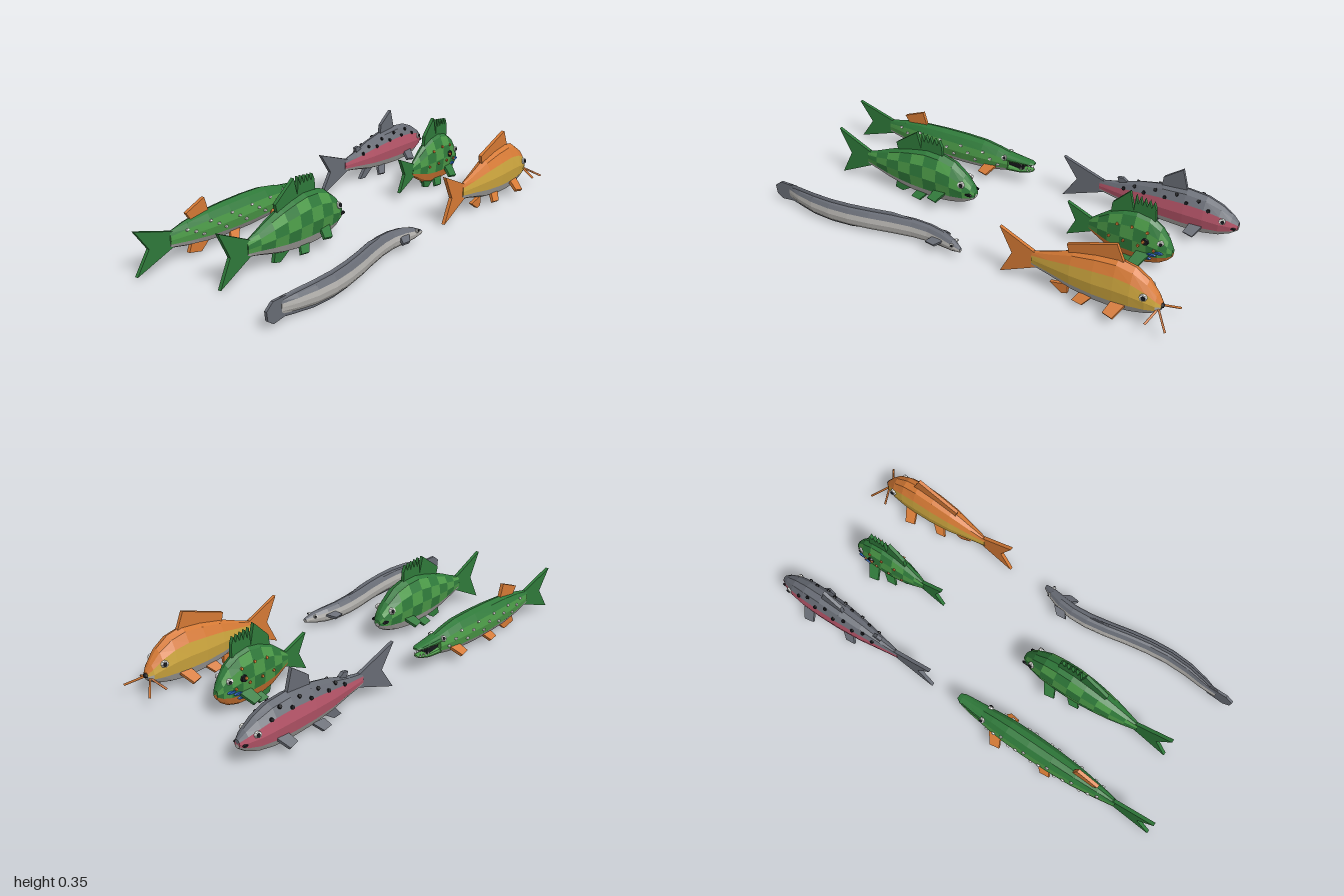
import * as THREE from 'three';

const paint = (name, color) => Object.assign(new THREE.MeshStandardMaterial({ color }), { name });
const darkGreen = paint('darkGreen', 0x2f7a3a), green = paint('green', 0x4c9b48);
const orange = paint('orange', 0xd67a35), gold = paint('gold', 0xd0a83f);
const slate = paint('slate', 0x686c75), pale = paint('pale', 0xb6b4b0);
const pink = paint('pink', 0xb8566a), black = paint('black', 0x17181c);
const blue = paint('blue', 0x2660b8), white = paint('white', 0xe6e6e2);

const SIDES = 12;

function add(group, name, geometry, material) {
  const mesh = new THREE.Mesh(geometry, material);
  mesh.name = name;
  group.add(mesh);
  return mesh;
}

// Point of an oval section [x, top, bottom, halfWidth, zOffset]; angle runs from the back down the +z side
function onSection([x, top, bottom, w, z = 0], a) {
  return new THREE.Vector3(x, (top + bottom) / 2 + (top - bottom) / 2 * Math.cos(a), z + w * Math.sin(a));
}

// Faceted body through the sections; pick(ring, band) gives each face its colour (band 0 = back, 5 = belly)
function loft(group, name, sections, pick) {
  const buckets = new Map();
  const face = (mat, ...pts) => {
    if (!buckets.has(mat)) buckets.set(mat, []);
    pts.forEach(p => buckets.get(mat).push(p.x, p.y, p.z));
  };
  const P = (i, j) => onSection(sections[i], j / SIDES * Math.PI * 2);
  const last = sections.length - 1;
  const middle = s => new THREE.Vector3(s[0], (s[1] + s[2]) / 2, s[4] || 0);
  for (let j = 0; j < SIDES; j++) {
    const band = Math.min(j, SIDES - 1 - j);
    for (let i = 0; i < last; i++) {
      const [a, b, c, d] = [P(i, j), P(i, j + 1), P(i + 1, j + 1), P(i + 1, j)];
      face(pick(i, band), a, b, c, a, c, d);
    }
    face(pick(0, band), middle(sections[0]), P(0, j + 1), P(0, j));
    face(pick(last - 1, band), middle(sections[last]), P(last, j), P(last, j + 1));
  }
  const geo = new THREE.BufferGeometry(), all = [], mats = [...buckets.keys()];
  mats.forEach((m, k) => {
    const list = buckets.get(m);
    geo.addGroup(all.length / 3, list.length / 3, k);
    for (const v of list) all.push(v);
  });
  geo.setAttribute('position', new THREE.Float32BufferAttribute(all, 3));
  geo.computeVertexNormals();
  return add(group, name, geo, mats);
}

// Flat slab fin, centred on its own plane
function fin(group, name, pts, material, thick = 0.016) {
  const geo = new THREE.ExtrudeGeometry(new THREE.Shape(pts.map(p => new THREE.Vector2(...p))), { depth: thick, bevelEnabled: false });
  geo.translate(0, 0, -thick / 2);
  return add(group, name, geo, material);
}

function tail(group, base, end, y, top, bottom, mat, half = 0.034) {
  fin(group, 'tailFin', [[base + 0.02, y + half], [end, top], [end + (base - end) * 0.38, y],
    [end, bottom], [base + 0.02, y - half]], mat);
}

// Mirrored paddle fins that slope outward and down from the body
function pairedFins(group, name, x, y, z, length, drop, mat, zc = 0) {
  for (const s of [1, -1]) {
    const f = fin(group, name, [[0, 0], [-0.035, -length], [-0.08, -length * 0.85], [-0.06, 0]], mat, 0.014);
    f.position.set(x, y, zc + s * z);
    f.rotation.x = -s * (Math.PI / 2 - drop);
  }
}

// Thin plate lying on the skin at x and angle
function plate(group, name, sections, x, angle, r, mat, stretch = 1, lift = 0.001, thick = 0.008) {
  let i = 0;
  while (i < sections.length - 2 && sections[i + 1][0] < x) i++;
  const [a, b] = [sections[i], sections[i + 1]], t = (x - a[0]) / (b[0] - a[0]);
  const s = [0, 1, 2, 3, 4].map(k => (a[k] || 0) + ((b[k] || 0) - (a[k] || 0)) * t);
  const normal = new THREE.Vector3(0, Math.cos(angle) / (s[1] - s[2]) * 2, Math.sin(angle) / s[3]).normalize();
  const mesh = add(group, name, new THREE.CylinderGeometry(r * 0.85, r, thick, 8).toNonIndexed(), mat);
  mesh.geometry.computeVertexNormals();
  mesh.position.copy(onSection(s, angle)).addScaledVector(normal, lift);
  mesh.quaternion.setFromUnitVectors(new THREE.Vector3(0, 1, 0), normal);
  mesh.scale.x = stretch;
}

function bothSides(fn) { fn(1); fn(-1); }

function eyes(group, sections, x, angle, r = 0.017) {
  bothSides(s => {
    plate(group, 'eye', sections, x, s * angle, r, white, 1, 0.001, 0.012);
    plate(group, 'pupil', sections, x + 0.003, s * angle, r * 0.62, black, 1, 0.007, 0.007);
  });
}

function fish(root, name, z) {
  const g = new THREE.Group();
  g.name = name;
  g.position.z = z;
  root.add(g);
  return g;
}

const bands = (back, side, belly) => (i, b) => b < 2 ? back : b < 4 ? side : belly;
const checker = belly => (i, b) => b > 3 ? belly : b > 0 && (i + b) % 2 ? green : darkGreen;

// Comb of sharp spines rising from the back
function spines(group, x0, x1, base0, base1, top) {
  const pts = [[x0, base0]], n = 5, step = (x1 - x0) / n;
  for (let i = 0; i < n; i++) pts.push([x0 + step * (i + 0.3), top - 0.003 * i], [x0 + step * (i + 0.85), top - 0.04]);
  fin(group, 'spinyFin', [...pts, [x1, base1]], darkGreen);
}

function buildCarp(root) {
  const g = fish(root, 'carp', 0.328);
  const s = [[.335, .16, .088, .013], [.42, .188, .07, .03], [.52, .226, .042, .048], [.62, .247, .026, .057],
    [.71, .256, .022, .059], [.78, .24, .03, .057], [.84, .2, .045, .048], [.88, .15, .062, .033], [.9, .118, .08, .016]];
  loft(g, 'body', s, (i, b) => i > 6 && b > 2 ? pale : bands(orange, gold, pale)(i, b));
  tail(g, .335, .187, .122, .235, .012, orange);
  fin(g, 'dorsalFin', [[.5, .21], [.49, .252], [.7, .322], [.735, .24]], orange);
  fin(g, 'analFin', [[.5, .055], [.42, .04], [.475, .002], [.5, .01]].reverse(), orange);
  pairedFins(g, 'pectoralFin', .77, .082, .035, .078, .65, orange);
  pairedFins(g, 'pelvicFin', .62, .05, .025, .045, .9, orange);
  eyes(g, s, .835, 1.3);
  const mouth = add(g, 'mouth', new THREE.IcosahedronGeometry(.016, 1), black);
  mouth.position.set(.895, .1, 0);
  mouth.scale.y = .75;
  // Two pairs of whiskers
  bothSides(k => [[.95, .045, .088], [.865, .055, .09]].forEach(([x, y, z]) => {
    const path = new THREE.LineCurve3(new THREE.Vector3(.89, .09, k * .014), new THREE.Vector3(x, y, k * z));
    add(g, 'barbel', new THREE.TubeGeometry(path, 1, .005, 5), orange);
  }));
}

function buildTrout(root) {
  const g = fish(root, 'trout', -.343);
  const s = [[.335, .138, .08, .012], [.42, .155, .065, .026], [.53, .187, .04, .044], [.64, .208, .025, .055],
    [.75, .215, .018, .059], [.84, .205, .02, .057], [.91, .178, .033, .048], [.96, .145, .055, .033], [.99, .115, .078, .015]];
  loft(g, 'body', s, bands(slate, pink, pale));
  tail(g, .335, .15, .109, .212, .006, slate, .029);
  fin(g, 'dorsalFin', [[.63, .2], [.635, .245], [.72, .305], [.75, .2]], slate);
  fin(g, 'adiposeFin', [[.43, .15], [.42, .178], [.445, .182], [.475, .16]], slate);
  fin(g, 'analFin', [[.5, .05], [.46, .005], [.5, 0], [.56, .04]], slate);
  pairedFins(g, 'pectoralFin', .85, .08, .035, .07, .7, slate);
  pairedFins(g, 'pelvicFin', .64, .04, .025, .045, .9, slate);
  eyes(g, s, .925, 1.25, .015);
  bothSides(k => {
    for (let i = 0; i < 9; i++) plate(g, 'spot', s, .46 + i * .05, k * (i % 2 ? .65 : .98), .009, black);
    plate(g, 'mouthLine', s, .972, k * 1.75, .006, black, 2.2);
  });
}

function buildBass(root) {
  const g = fish(root, 'bass', -.011);
  const s = [[-.72, .158, .088, .013], [-.66, .178, .075, .028], [-.59, .207, .055, .043], [-.52, .232, .037, .053],
    [-.45, .25, .025, .06], [-.38, .262, .018, .063], [-.31, .257, .018, .062], [-.24, .235, .027, .058],
    [-.18, .188, .045, .046], [-.145, .145, .065, .031], [-.13, .115, .08, .017]];
  loft(g, 'body', s, checker(pale));
  tail(g, -.72, -.877, .123, .242, .005, darkGreen);
  fin(g, 'softDorsalFin', [[-.54, .215], [-.55, .257], [-.435, .338], [-.41, .24]], darkGreen);
  spines(g, -.415, -.3, .245, .245, .338);
  fin(g, 'analFin', [[-.56, .05], [-.57, .01], [-.53, 0], [-.47, .035]], darkGreen);
  pairedFins(g, 'pectoralFin', -.26, .09, .045, .06, .7, darkGreen);
  pairedFins(g, 'pelvicFin', -.37, .045, .025, .045, .9, darkGreen);
  eyes(g, s, -.185, 1.1);
  bothSides(k => plate(g, 'mouthLine', s, -.152, k * 1.65, .008, black, 2.4));
}

function buildSunfish(root) {
  const g = fish(root, 'sunfish', -.011);
  const s = [[.435, .155, .095, .011], [.48, .19, .07, .025], [.53, .228, .04, .036], [.59, .253, .023, .044],
    [.65, .262, .018, .048], [.71, .25, .02, .047], [.76, .215, .035, .041], [.795, .165, .06, .029], [.815, .125, .085, .014]];
  loft(g, 'body', s, checker(orange));
  tail(g, .435, .33, .125, .208, .042, darkGreen, .028);
  fin(g, 'softDorsalFin', [[.53, .21], [.535, .27], [.61, .346], [.635, .24]], darkGreen);
  spines(g, .63, .73, .25, .235, .333);
  fin(g, 'analFin', [[.53, .055], [.54, .012], [.575, .002], [.62, .03]], darkGreen);
  pairedFins(g, 'pectoralFin', .73, .09, .035, .07, .7, darkGreen);
  pairedFins(g, 'pelvicFin', .66, .04, .02, .04, .9, darkGreen);
  eyes(g, s, .768, 1.15, .014);
  bothSides(k => {
    // Cheek streaks, ear flap and flank spots
    [[.765, 1.75], [.735, 1.95], [.715, 2.2]].forEach(([x, a]) => plate(g, 'cheekStreak', s, x, k * a, .007, blue, 3));
    plate(g, 'earFlap', s, .705, k * 1.45, .017, black);
    plate(g, 'earSpot', s, .698, k * 1.45, .008, orange, 1, .006);
    for (let i = 0; i < 7; i++) plate(g, 'flankSpot', s, .54 + i * .034, k * (i % 2 ? 1.05 : 1.7), .007, orange);
  });
}

function buildPike(root) {
  const g = fish(root, 'pike', -.343);
  const s = [[-.82, .145, .075, .014], [-.73, .165, .055, .03], [-.62, .178, .038, .045], [-.5, .182, .03, .053],
    [-.38, .182, .028, .056], [-.27, .177, .032, .054], [-.19, .162, .042, .047], [-.13, .146, .055, .039]];
  loft(g, 'body', s, bands(darkGreen, green, pale));
  loft(g, 'upperJaw', [[-.14, .147, .1, .037], [-.07, .136, .108, .03], [-.02, .13, .112, .024], [-.002, .125, .116, .013]],
    (i, b) => b < 3 ? darkGreen : green);
  loft(g, 'lowerJaw', [[-.14, .098, .055, .036], [-.07, .09, .06, .028], [-.025, .092, .072, .02], [-.008, .09, .08, .011]],
    (i, b) => b < 4 ? green : pale);
  const mouth = add(g, 'mouth', new THREE.BoxGeometry(.09, .03, .04), black);
  mouth.position.set(-.1, .1, 0);
  // Teeth along both jaws
  bothSides(k => {
    for (let i = 0; i < 4; i++) for (const up of [1, -1]) {
      const tooth = add(g, 'tooth', new THREE.ConeGeometry(.004, .014, 4), white);
      tooth.position.set(-.065 + i * .016, up > 0 ? .092 : .11, k * (.022 - i * .002));
      tooth.rotation.x = up > 0 ? 0 : Math.PI;
    }
    for (let i = 0; i < 15; i++) plate(g, 'fleck', s, -.74 + i * .04, k * (1.1 + (i % 3) * .35), .006, white, 1.5);
  });
  tail(g, -.82, -1, .11, .207, .012, darkGreen, .033);
  fin(g, 'dorsalFin', [[-.7, .16], [-.725, .197], [-.62, .237], [-.6, .17]], orange);
  fin(g, 'analFin', [[-.7, .065], [-.72, .02], [-.65, .003], [-.6, .045]], orange);
  pairedFins(g, 'pectoralFin', -.19, .075, .035, .06, .7, orange);
  pairedFins(g, 'pelvicFin', -.44, .05, .025, .045, .9, orange);
  eyes(g, s, -.15, .95, .014);
}

function buildEel(root) {
  const g = fish(root, 'eel', 0);
  const s = [[-.92, .09, .03, .01, .337], [-.85, .098, .022, .023, .349], [-.76, .104, .014, .029, .363], [-.66, .106, .011, .032, .367],
    [-.56, .106, .01, .034, .358], [-.46, .106, .01, .035, .341], [-.36, .105, .01, .035, .319], [-.26, .102, .011, .034, .302],
    [-.18, .097, .013, .032, .298], [-.11, .09, .016, .031, .306], [-.05, .077, .023, .024, .321], [-.005, .055, .035, .01, .334]];
  loft(g, 'body', s, bands(slate, pale, pale));
  // Long ribbon fins that follow the bend of the body
  loft(g, 'dorsalRibbon', s.slice(0, 8).map(([x, t, , , z], i) => [x, t + (i < 7 ? .012 : 0), t - .02, .006, z]), () => slate);
  loft(g, 'analRibbon', s.slice(0, 6).map(([x, , b, , z], i) => [x, b + .02, i < 5 ? Math.max(0, b - .012) : b, .006, z]), () => slate);
  fin(g, 'tailFin', [[-.88, .1], [-.965, .102], [-1, .075], [-.995, .035], [-.965, .013], [-.88, .022]], slate, .012).position.z = .339;
  pairedFins(g, 'pectoralFin', -.09, .06, .026, .035, .5, slate, .303);
  eyes(g, s, -.045, 1.05, .009);
}

export function createModel() {
  const root = new THREE.Group();
  root.name = 'fishCollection';
  [buildCarp, buildTrout, buildBass, buildSunfish, buildPike, buildEel].forEach(build => build(root));
  return root;
}
